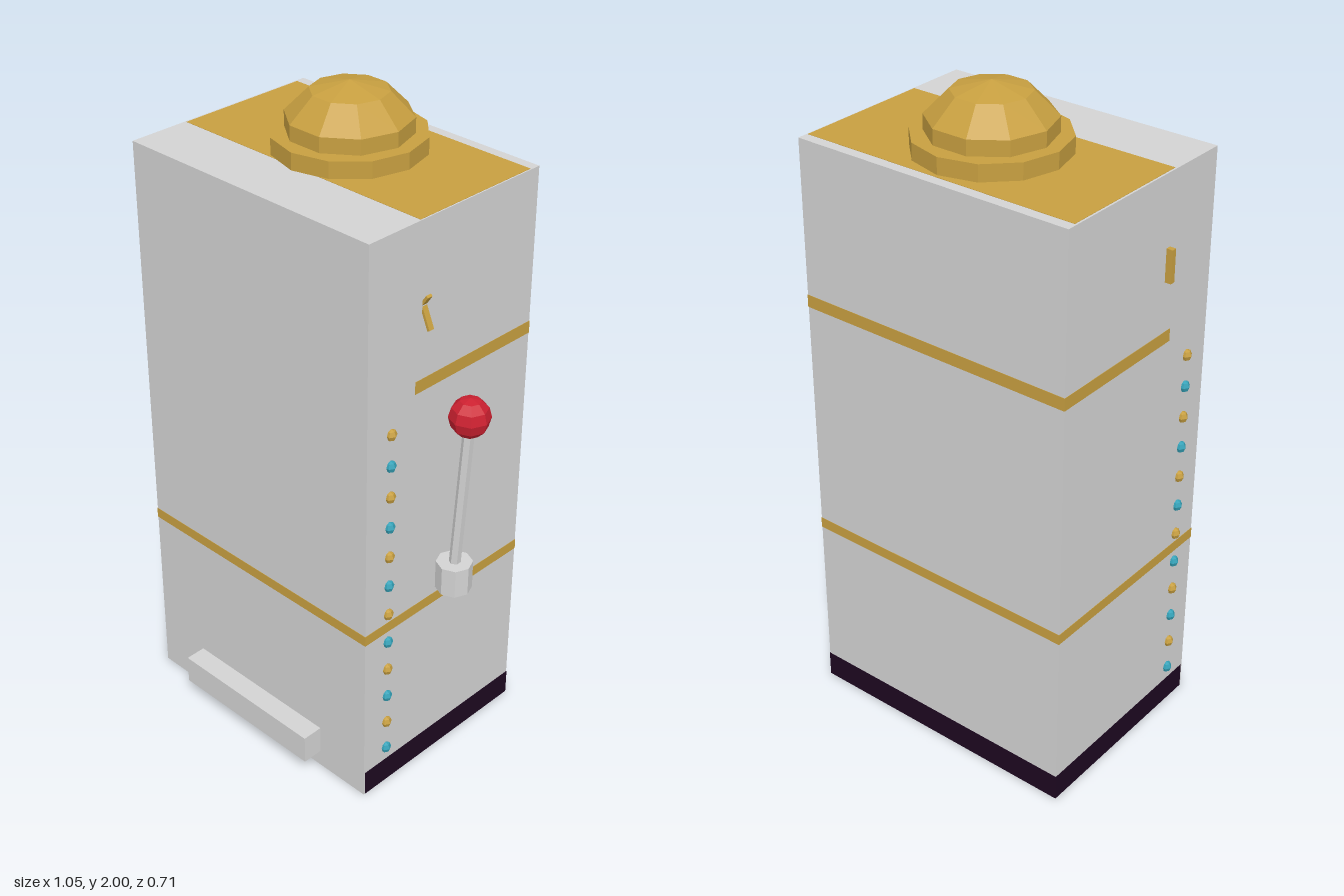
import * as THREE from 'three';

const paint = (name, color) => {
  const m = new THREE.MeshStandardMaterial({ color });
  m.name = name;
  m.flatShading = true;
  return m;
};

export function createModel() {
  const silver = paint('silver', 0xd3d3d3);
  const gold = paint('gold', 0xc79f40);
  const red = paint('red', 0xcc2030);
  const teal = paint('teal', 0x35a2b8);
  const dark = paint('dark plum', 0x1d0820);

  const model = new THREE.Group();
  model.name = 'leverCabinet';

  const add = (name, geometry, material, x, y, z, parent = model) => {
    const mesh = new THREE.Mesh(geometry, material);
    mesh.name = name;
    mesh.position.set(x, y, z);
    parent.add(mesh);
    return mesh;
  };
  // Box given by its lower and upper corners
  const block = (name, material, [x0, y0, z0], [x1, y1, z1]) =>
    add(name, new THREE.BoxGeometry(x1 - x0, y1 - y0, z1 - z0), material,
      (x0 + x1) / 2, (y0 + y1) / 2, (z0 + z1) / 2);

  // Cabinet extents; painted trim stands proud by e
  const L = -0.506, R = 0.379, B = -0.355, F = 0.29, TOP = 1.81, e = 0.001;
  block('cabinet', silver, [L, 0, B], [R, TOP, F]);
  block('coinTray', silver, [-0.325, 0.055, F - 0.01], [0.198, 0.146, 0.355]);

  // Trim: kick plate, lower and upper bands, top panel
  block('kickPlate', dark, [L - e, e, B - e], [R + e, 0.083, F - 0.005]);
  block('lowerBand', gold, [L - e, 0.565, B - e], [R + e, 0.598, F + e]);
  block('upperBand', gold, [L - e, 1.308, B - e], [R + e, 1.346, 0.11]);
  block('topPanel', gold, [-0.5, TOP - 0.005, -0.323], [0.375, TOP + e, 0.102]);

  // Domed lamp on a round foot
  const lamp = new THREE.Group();
  lamp.name = 'topLamp';
  lamp.position.set(-0.063, TOP, -0.095);
  model.add(lamp);
  add('lampFoot', new THREE.CylinderGeometry(0.218, 0.218, 0.05, 12), gold, 0, 0.025, 0, lamp);
  const dome = add('lampDome', new THREE.SphereGeometry(0.187, 10, 5), gold, 0, 0.052, 0, lamp);
  dome.scale.y = 0.138 / 0.187;

  // Alternating studs down both sides
  const stud = new THREE.SphereGeometry(0.018, 6, 4);
  for (const x of [L, R]) {
    for (let i = 0; i < 12; i++) {
      add('sideStud', stud, i % 2 ? gold : teal, x, 0.132 + i * 0.0994, 0.2);
    }
  }

  // Small gold fins on the sides: a flat bar and a pair of angled strips
  block('leftFin', gold, [-0.525, 1.498, 0.073], [L + 0.005, 1.596, 0.089]);
  const strip = (x0, y0, x1, y1) => {
    const length = Math.hypot(x1 - x0, y1 - y0);
    const mesh = add('rightFin', new THREE.BoxGeometry(0.008, length, 0.018), gold,
      (x0 + x1) / 2, (y0 + y1) / 2, 0.082);
    mesh.rotation.z = -Math.atan2(x1 - x0, y1 - y0);
  };
  strip(0.37, 1.56, 0.394, 1.596);
  strip(0.374, 1.565, 0.402, 1.5);

  // Pull lever
  const lever = new THREE.Group();
  lever.name = 'pullLever';
  lever.position.set(0.432, 0, -0.016);
  model.add(lever);
  add('leverHub', new THREE.CylinderGeometry(0.053, 0.053, 0.09, 8), silver, 0, 0.681, 0, lever);
  const rod = add('leverRod', new THREE.CylinderGeometry(0.017, 0.017, 0.52, 6), silver, 0.016, 0.95, 0, lever);
  rod.rotation.z = -0.065;
  add('leverKnob', new THREE.SphereGeometry(0.059, 8, 6), red, 0.032, 1.221, 0, lever);

  return model;
}
